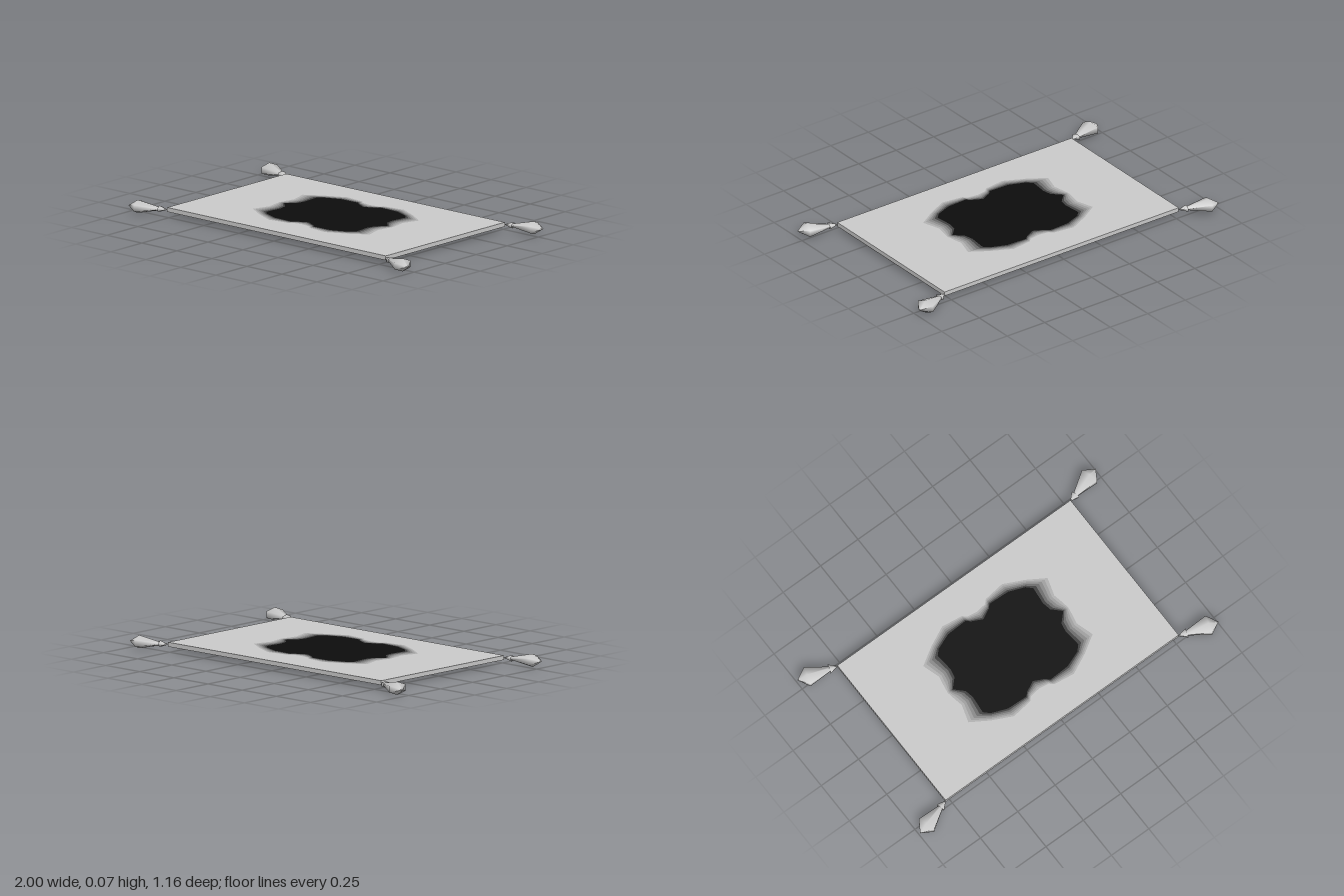
import * as THREE from 'three';

const GREY = 0xcccccc;
const MID_Y = 0.037;   // height of the cloth's middle
const THICK = 0.024;
const HALF_X = 0.78, HALF_Z = 0.48;

// Six-sided spun shape, laid along +x and widened sideways
function spun(profile, name) {
  const pts = profile.map(([along, radius]) => new THREE.Vector2(radius, along));
  const geo = new THREE.LatheGeometry(pts, 6, Math.PI / 2);
  geo.rotateZ(-Math.PI / 2);
  geo.scale(1, 1, 1.62);
  const mesh = new THREE.Mesh(geo, new THREE.MeshStandardMaterial({ color: GREY }));
  mesh.name = name;
  return mesh;
}

function makeTassel() {
  const tassel = new THREE.Group();
  tassel.add(
    spun([[-0.004, 0], [0.046, 0.017], [0.046, 0]], 'tasselKnot'),
    spun([[0.035, 0.007], [0.172, 0.036], [0.228, 0]], 'tasselTuft')
  );
  return tassel;
}

// Mirrors one quarter of an outline into a closed loop
function fourWay(quarter) {
  const back = quarter.slice().reverse();
  const signed = (list, sx, sy) => list.map(([x, y]) => new THREE.Vector2(x * sx, y * sy));
  return [
    ...signed(quarter, 1, 1),
    ...signed(back, 1, -1).slice(1),
    ...signed(quarter, -1, -1).slice(1),
    ...signed(back, -1, 1).slice(1, -1),
  ];
}

// Quarter outlines of the dark centre and of its faded edge
const CORE = [[0, 0.22], [0.06, 0.25], [0.08, 0.27], [0.2, 0.265], [0.29, 0.23],
  [0.32, 0.2], [0.31, 0.1], [0.32, 0.05], [0.37, 0]];
const EDGE = [[0, 0.285], [0.06, 0.29], [0.08, 0.31], [0.2, 0.33], [0.32, 0.27],
  [0.435, 0.2], [0.4, 0.1], [0.41, 0.05], [0.41, 0]];
const BANDS = 6;

function makePattern() {
  const pattern = new THREE.Group();
  const dark = new THREE.Color(0x0d0d0d), light = new THREE.Color(GREY);
  const outline = t => fourWay(CORE.map(([x, y], i) =>
    [x + (EDGE[i][0] - x) * t, y + (EDGE[i][1] - y) * t]));
  const add = (shape, color, name) => {
    const mesh = new THREE.Mesh(new THREE.ShapeGeometry(shape),
      new THREE.MeshStandardMaterial({ color }));
    mesh.name = name;
    pattern.add(mesh);
  };
  add(new THREE.Shape(outline(0)), dark, 'patternCentre');
  for (let i = 0; i < BANDS; i++) {
    const ring = new THREE.Shape(outline((i + 1) / BANDS));
    ring.holes.push(new THREE.Path(outline(i / BANDS)));
    add(ring, dark.clone().lerp(light, (i + 0.5) / BANDS), 'patternFade');
  }
  return pattern;
}

export function createModel() {
  const rug = new THREE.Group();
  rug.name = 'rug';

  // Flat cloth
  const cloth = new THREE.Mesh(
    new THREE.BoxGeometry(HALF_X * 2, THICK, HALF_Z * 2),
    new THREE.MeshStandardMaterial({ color: GREY }));
  cloth.name = 'cloth';
  cloth.position.y = MID_Y;
  rug.add(cloth);

  // Dark pattern on the upper and lower faces
  for (const side of [1, -1]) {
    const pattern = makePattern();
    pattern.name = side > 0 ? 'upperPattern' : 'lowerPattern';
    pattern.rotation.x = -side * Math.PI / 2;
    pattern.position.y = MID_Y + side * (THICK / 2 + 0.001);
    rug.add(pattern);
  }

  // A tassel on each corner, splayed outwards
  const splay = 0.29;
  for (const sx of [1, -1]) for (const sz of [1, -1]) {
    const tassel = makeTassel();
    tassel.name = (sz > 0 ? 'front' : 'back') + (sx > 0 ? 'Left' : 'Right') + 'Tassel';
    tassel.position.set(sx * HALF_X, MID_Y, sz * HALF_Z);
    tassel.rotation.y = -Math.atan2(sz * Math.sin(splay), sx * Math.cos(splay));
    rug.add(tassel);
  }
  return rug;
}
